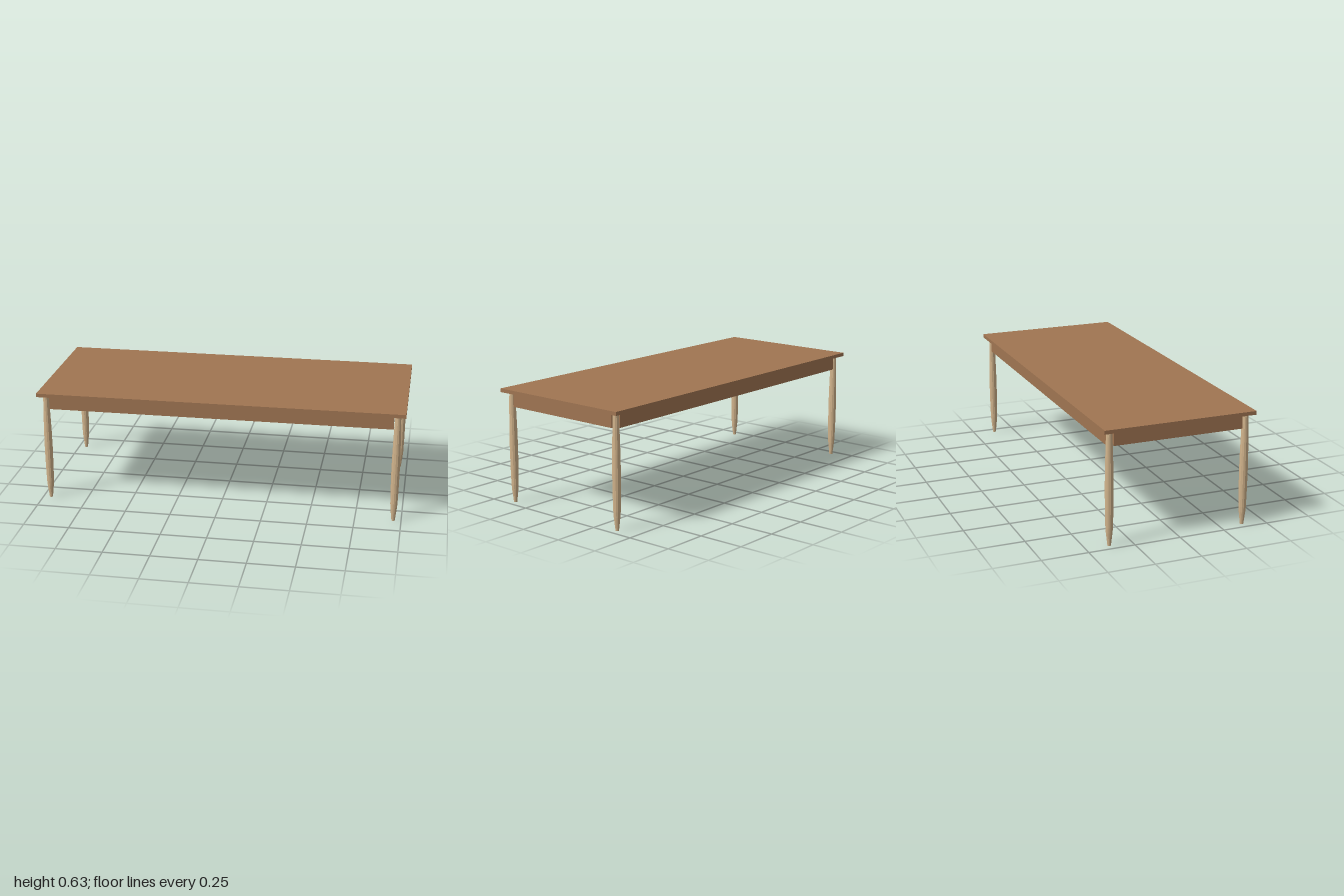
import * as THREE from 'three';

export function createModel() {
  const table = new THREE.Group();
  table.name = 'table';

  const brown = new THREE.MeshStandardMaterial({ color: 0xa07552 });
  brown.name = 'brown wood';
  const tan = new THREE.MeshStandardMaterial({ color: 0xd2b48c, flatShading: true });
  tan.name = 'pale wood';

  const TOP = 0.627, UNDER = 0.607; // tabletop faces
  const LEG_X = 0.957, LEG_Z = 0.374; // leg axes
  const APRON_H = 0.077, APRON_T = 0.02;

  const box = (name, w, h, d, x, y, z) => {
    const mesh = new THREE.Mesh(new THREE.BoxGeometry(w, h, d), brown);
    mesh.name = name;
    mesh.position.set(x, y, z);
    table.add(mesh);
  };

  // Tabletop
  box('tabletop', 2, TOP - UNDER, 0.83, 0, (TOP + UNDER) / 2, 0);

  // Apron boards between the legs
  const apronY = UNDER - APRON_H / 2;
  for (const s of [1, -1]) {
    box(s > 0 ? 'frontApron' : 'backApron', 2 * (LEG_X - 0.02), APRON_H, APRON_T, 0, apronY, s * LEG_Z);
    box(s > 0 ? 'leftApron' : 'rightApron', APRON_T, APRON_H, 2 * (LEG_Z - 0.02), s * LEG_X, apronY, 0);
  }

  // Turned legs: swelling in the middle, tapered foot
  const profile = [
    [0, 0], [0.009, 0], [0.0175, 0.072], [0.0195, 0.1], [0.0215, 0.19], [0.0225, 0.3],
    [0.0215, 0.4], [0.0187, 0.51], [0.0153, UNDER], [0, UNDER],
  ].map(([r, y]) => new THREE.Vector2(r, y));
  const legGeometry = new THREE.LatheGeometry(profile, 12);
  for (const sx of [1, -1]) {
    for (const sz of [1, -1]) {
      const leg = new THREE.Mesh(legGeometry, tan);
      leg.name = (sz > 0 ? 'front' : 'back') + (sx > 0 ? 'Left' : 'Right') + 'Leg';
      leg.position.set(sx * LEG_X, 0, sz * LEG_Z);
      table.add(leg);
    }
  }
  return table;
}
